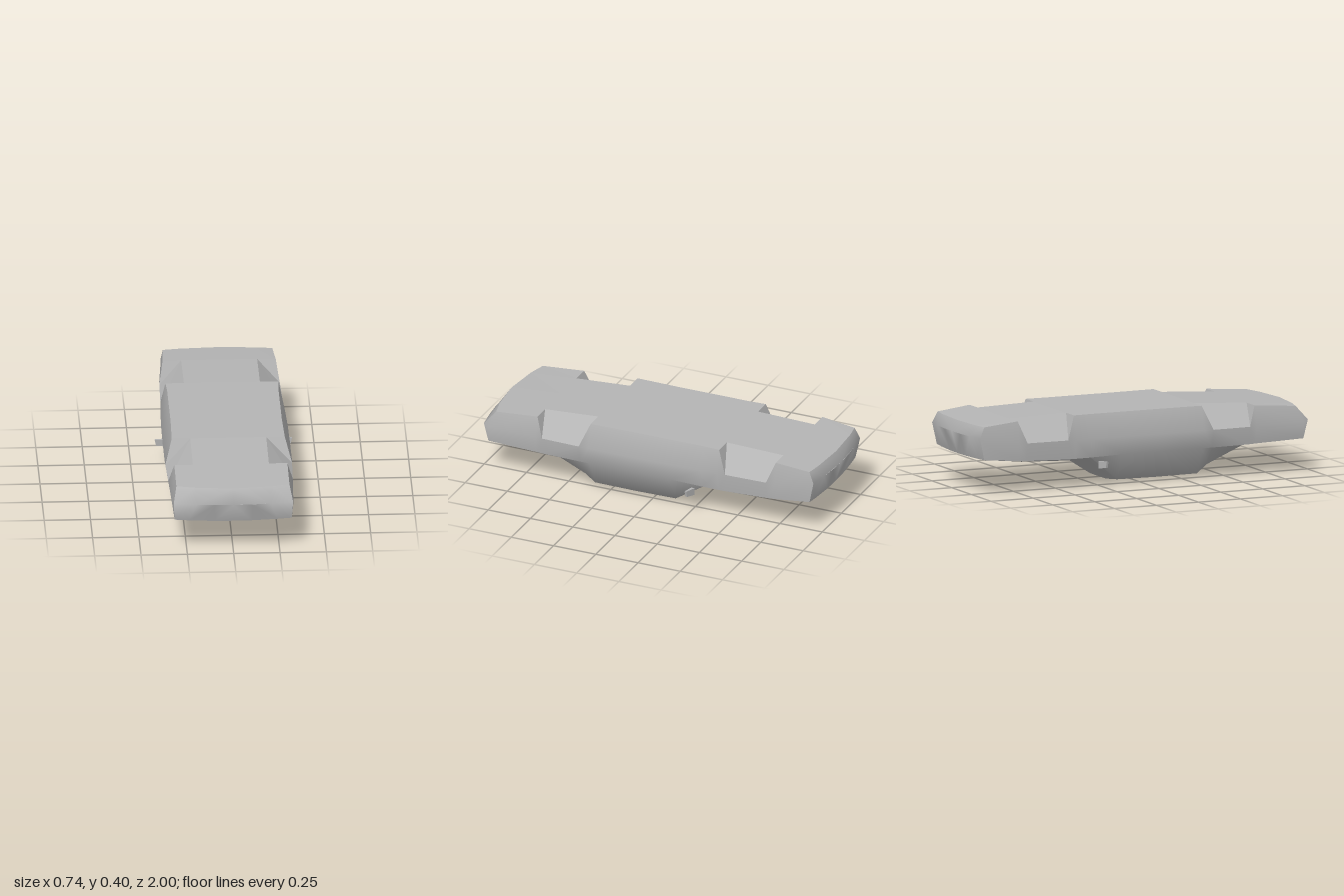
import * as THREE from 'three';
import { toCreasedNormals } from 'three/addons/utils/BufferGeometryUtils.js';

// Cross-sections of the overturned car shell, from +z to -z:
// z, floor y, floor x, side x, side y, shoulder x, shoulder y, roof edge x, roof edge y, roof y
const SECTIONS = [
  { v: [0.965, 0.36, 0.305, 0.325, 0.27, 0.316, 0.182, 0.24, 0.18, 0.178], bow: 0.02, floorZ: 0.95, floorBow: 0.05 },
  { v: [0.66, 0.38, 0.305, 0.334, 0.27, 0.32, 0.174, 0.245, 0.162, 0.156] },
  { v: [0.62, 0.38, 0.305, 0.336, 0.27, 0.32, 0.172, 0.245, 0.16, 0.152], wellZ: 0.66 },
  { v: [0.4, 0.4, 0.305, 0.342, 0.27, 0.321, 0.17, 0.255, 0.07, 0.038], wellZ: 0.345 },
  { v: [0.345, 0.4, 0.305, 0.343, 0.27, 0.321, 0.17, 0.245, 0.022, 0.004] },
  { v: [0.1, 0.4, 0.3, 0.343, 0.27, 0.32, 0.17, 0.245, 0.02, 0.001] },
  { v: [-0.13, 0.4, 0.3, 0.341, 0.27, 0.319, 0.17, 0.243, 0.022, 0.005] },
  { v: [-0.32, 0.4, 0.3, 0.336, 0.27, 0.317, 0.165, 0.25, 0.146, 0.137] },
  { v: [-0.415, 0.4, 0.305, 0.332, 0.27, 0.316, 0.164, 0.25, 0.147, 0.139] },
  { v: [-0.46, 0.4, 0.305, 0.33, 0.27, 0.315, 0.164, 0.25, 0.148, 0.141], wellZ: -0.415 },
  { v: [-0.7, 0.391, 0.305, 0.325, 0.27, 0.312, 0.172, 0.245, 0.158, 0.154], wellZ: -0.75 },
  { v: [-0.75, 0.391, 0.305, 0.323, 0.27, 0.311, 0.175, 0.245, 0.164, 0.16] },
  { v: [-0.965, 0.37, 0.295, 0.308, 0.28, 0.3, 0.192, 0.23, 0.19, 0.188], bow: 0.02, floorZ: -0.97, floorBow: 0.03 },
];

// Half section from floor centre, round the side, to roof centre
function halfSection({ v, bow = 0, floorZ, floorBow = 0, wellZ }) {
  const [z, fy, fx, sx, sy, hx, hy, ex, ey, ry] = v;
  const at = (x, y, z0 = z, b = bow) =>
    new THREE.Vector3(x, y, z0 - Math.sign(z0) * b * (x / 0.32) ** 2);
  const fz = wellZ ?? floorZ ?? z;
  return [
    at(0, fy, fz, floorBow), at(0.205, fy, fz, floorBow),
    wellZ === undefined ? at(fx, fy, fz, floorBow) : at(sx, sy),
    at(sx, sy), at(hx, hy), at(ex, ey), at(0.1, ry), at(0, ry),
  ];
}

// Bumper ridge that closes an end: floor chain and roof chain meet on one line
function endRidge(z, y, w) {
  return [0, 0.2, w, w, w, 0.2, 0.1, 0].map(x =>
    new THREE.Vector3(x, y, z - Math.sign(z) * 0.03 * (x / 0.32) ** 2));
}

// Adds a triangle and its mirror image, skipping collapsed ones
function addTriangle(out, a, b, c) {
  const area = b.clone().sub(a).cross(c.clone().sub(a)).length();
  if (area < 1e-7) return;
  for (const p of [a, b, c]) out.push(p.x, p.y, p.z);
  for (const p of [a, c, b]) out.push(-p.x, p.y, p.z);
}

function toGeometry(positions) {
  const g = new THREE.BufferGeometry();
  g.setAttribute('position', new THREE.Float32BufferAttribute(positions, 3));
  g.computeVertexNormals();
  return g;
}

export function createModel() {
  const model = new THREE.Group();
  const grey = new THREE.MeshStandardMaterial({ color: 0xb4b4b4, side: THREE.DoubleSide });
  grey.name = 'plain grey';
  const add = (name, geometry) => {
    const mesh = new THREE.Mesh(geometry, grey);
    mesh.name = name;
    model.add(mesh);
    return mesh;
  };

  // Loft the shell; the flat floor and wheel wells go in their own mesh
  const rings = [endRidge(1, 0.285, 0.322), ...SECTIONS.map(halfSection), endRidge(-1, 0.31, 0.305)];
  const shell = [], floor = [];
  for (let i = 0; i < rings.length - 1; i++) {
    const isEnd = i === 0 || i === rings.length - 2;
    for (let j = 0; j < 7; j++) {
      const out = j < 2 && !isEnd ? floor : shell;
      const a = rings[i][j], b = rings[i][j + 1], c = rings[i + 1][j], d = rings[i + 1][j + 1];
      addTriangle(out, a, b, c);
      addTriangle(out, b, d, c);
    }
  }
  add('bodyShell', toCreasedNormals(toGeometry(shell), THREE.MathUtils.degToRad(62)));
  add('floorAndWheelWells', toGeometry(floor));

  // Door mirrors, tapering towards the tip
  for (const side of [1, -1]) {
    const shape = new THREE.Shape([
      [0.305, 0.14], [0.305, 0.1], [0.363, 0.11], [0.371, 0.144],
    ].map(([x, y]) => new THREE.Vector2(x * side, y)));
    const g = new THREE.ExtrudeGeometry(shape, { depth: 0.02, bevelEnabled: false });
    const p = g.attributes.position;
    for (let i = 0; i < p.count; i++) {
      const t = (Math.abs(p.getX(i)) - 0.305) / 0.066;
      p.setZ(i, p.getZ(i) * (1 - 0.5 * t) - 0.27 + 0.02 * t);
    }
    g.computeVertexNormals();
    add(side > 0 ? 'leftMirror' : 'rightMirror', g);
  }
  return model;
}
